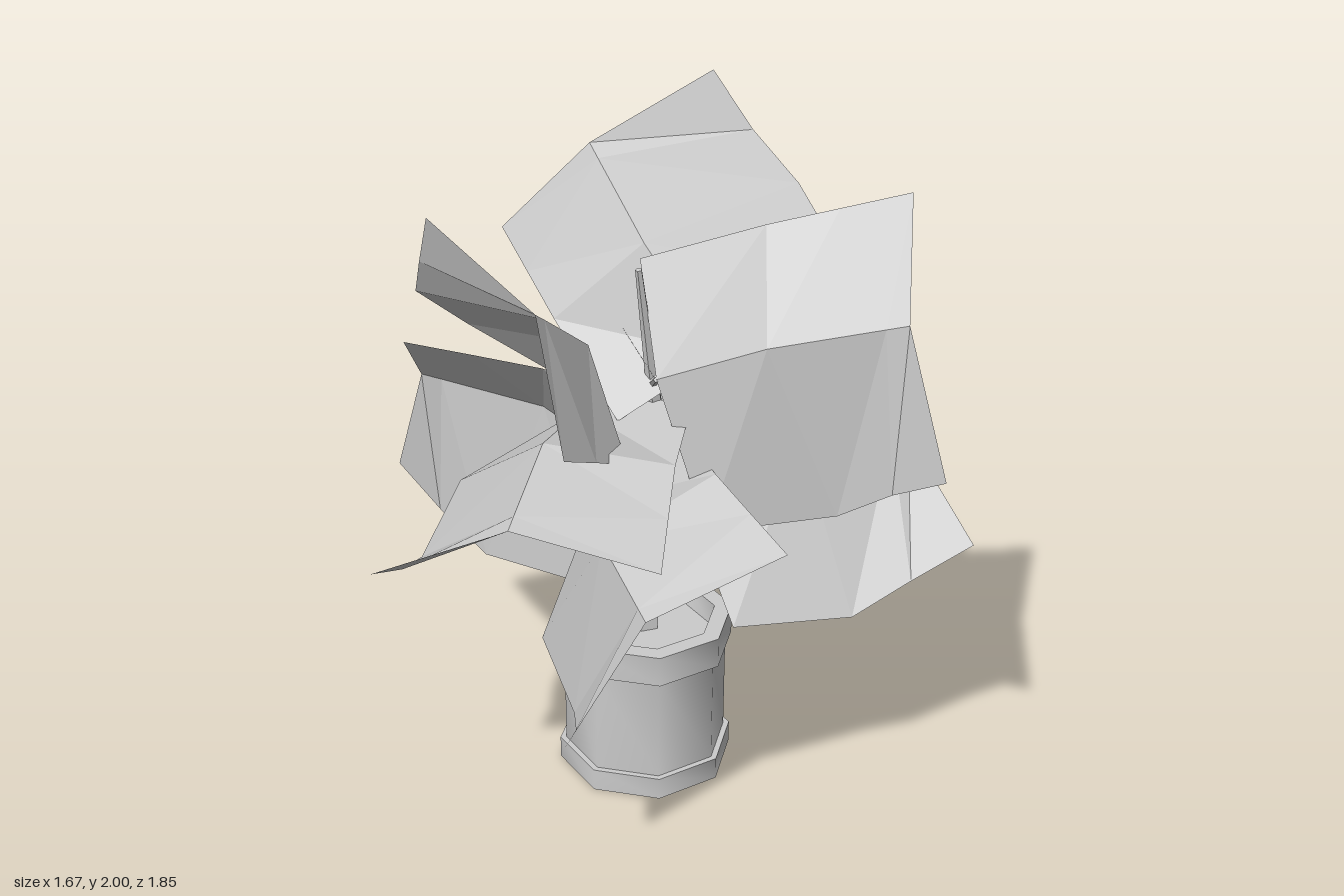
import * as THREE from 'three';
import { toCreasedNormals } from 'three/addons/utils/BufferGeometryUtils.js';

const V = (x, y, z) => new THREE.Vector3(x, y, z);
const solid = new THREE.MeshStandardMaterial({ color: 0xcccccc });
const facet = new THREE.MeshStandardMaterial({ color: 0xcccccc, flatShading: true });
const sheet = new THREE.MeshStandardMaterial({ color: 0xcccccc, flatShading: true, side: THREE.DoubleSide });

// One folded leaf: rows run from base to tip, each row is left edge, midrib, right edge.
// Axes: x to the right, y up from the fold, z towards the tip.
const LENGTH = 0.74;
const rows = [
  [[-0.335, 0.035, 0], [0, 0, 0], [0.4, -0.22, 0]],
  [[-0.355, 0.0, 0.37], [0, 0.07, 0.37], [0.405, -0.275, 0.37]],
  [[-0.37, -0.06, 0.56], [0, 0.012, 0.68], [0.385, -0.21, 0.56]],
  [[-0.385, -0.12, 0.745], [0, 0, 0.74], [0.393, -0.123, 0.745]],
];

function leafGeometry() {
  const geo = new THREE.BufferGeometry();
  geo.setAttribute('position', new THREE.Float32BufferAttribute(rows.flat(2), 3));
  const index = [];
  for (let r = 0; r < rows.length - 1; r++) {
    for (let c = 0; c < 2; c++) {
      const a = r * 3 + c, b = a + 1, d = a + 3, e = a + 4;
      index.push(a, d, b, b, d, e);
    }
  }
  geo.setIndex(index);
  geo.computeVertexNormals();
  return geo;
}

// Each leaf is placed by its left tip corner, midrib tip, right tip corner and base
const leaves = [
  [[0.83, 0.965, 0.18], [0.625, 1.02, 0.515], [0.45, 0.865, 0.84], [0, 1.03, 0.15]],
  [[0.22, 1.54, -0.66], [0.3, 1.82, -0.395], [0.58, 2.0, -0.17], [0.15, 1.36, 0.155]],
  [[0.395, 1.83, 0.59], [0.125, 1.6, 0.755], [0.055, 1.235, 0.92], [-0.03, 1.35, 0.13]],
  [[-0.54, 1.09, 0.45], [-0.69, 1.155, 0.09], [-0.835, 0.995, -0.245], [-0.02, 1.15, -0.195]],
  [[-0.54, 1.335, 0.15], [-0.375, 1.6, -0.06], [-0.36, 1.785, -0.42], [0.14, 1.12, -0.27]],
  [[-0.25, 1.05, 0.62], [-0.505, 0.9, 0.385], [-0.69, 0.56, 0.235], [-0.01, 0.86, -0.155]],
  [[-0.315, 1.37, -0.57], [-0.06, 1.13, -0.76], [0, 0.77, -0.92], [0.175, 0.89, -0.125]],
  [[0.305, 1.53, -0.66], [0.605, 1.29, -0.545], [0.775, 0.93, -0.58], [0.2, 1.05, 0.03]],
];

// Tapered stalk between two points
function stalk(a, b, r0, r1, name) {
  const dir = b.clone().sub(a);
  const mesh = new THREE.Mesh(new THREE.CylinderGeometry(r1, r0, dir.length(), 5), facet);
  mesh.position.copy(a).addScaledVector(dir, 0.5);
  mesh.quaternion.setFromUnitVectors(V(0, 1, 0), dir.normalize());
  mesh.name = name;
  return mesh;
}

export function createModel() {
  const model = new THREE.Group();
  model.name = 'pottedPlant';

  // Eight-sided pot with foot, rim and recessed soil
  const profile = [
    [0, 0], [0.263, 0], [0.263, 0.07], [0.245, 0.07], [0.245, 0.4],
    [0.263, 0.4], [0.263, 0.495], [0.21, 0.495], [0.2, 0.43], [0, 0.43],
  ].map(([x, y]) => new THREE.Vector2(x, y));
  const pot = new THREE.Mesh(toCreasedNormals(new THREE.LatheGeometry(profile, 8), 0.9), solid);
  pot.position.set(0.078, 0, -0.035);
  pot.name = 'pot';
  model.add(pot);

  // Leaning main stem
  const stemPoints = [V(0.105, 0.42, -0.055), V(0.135, 0.8, -0.05), V(0.09, 1.18, -0.01), V(-0.005, 1.62, 0)];
  const radii = [0.045, 0.035, 0.022, 0.01];
  const stem = new THREE.Group();
  stem.name = 'stem';
  for (let i = 0; i < 3; i++) {
    stem.add(stalk(stemPoints[i], stemPoints[i + 1], radii[i], radii[i + 1], 'stemSegment'));
  }
  model.add(stem);
  const stemAt = (y) => {
    const i = y < 0.8 ? 0 : y < 1.18 ? 1 : 2;
    const a = stemPoints[i], b = stemPoints[i + 1];
    return a.clone().lerp(b, (y - a.y) / (b.y - a.y));
  };

  // Leaves with short stalks
  const geo = leafGeometry();
  for (const points of leaves) {
    const [left, tip, right, base] = points.map((p) => V(...p));
    const out = tip.clone().sub(base).normalize();
    const side = right.sub(left);
    side.addScaledVector(out, -side.dot(out)).normalize();
    const up = side.clone().cross(out);
    const start = tip.clone().addScaledVector(out, -LENGTH);
    const frame = new THREE.Matrix4().makeBasis(side, up, out.negate().negate()).setPosition(start);
    const leaf = new THREE.Mesh(geo.clone().applyMatrix4(frame), sheet);
    leaf.name = 'leaf';
    model.add(leaf);
    model.add(stalk(stemAt(start.y - 0.08), start, 0.012, 0.008, 'leafStalk'));
  }
  return model;
}
